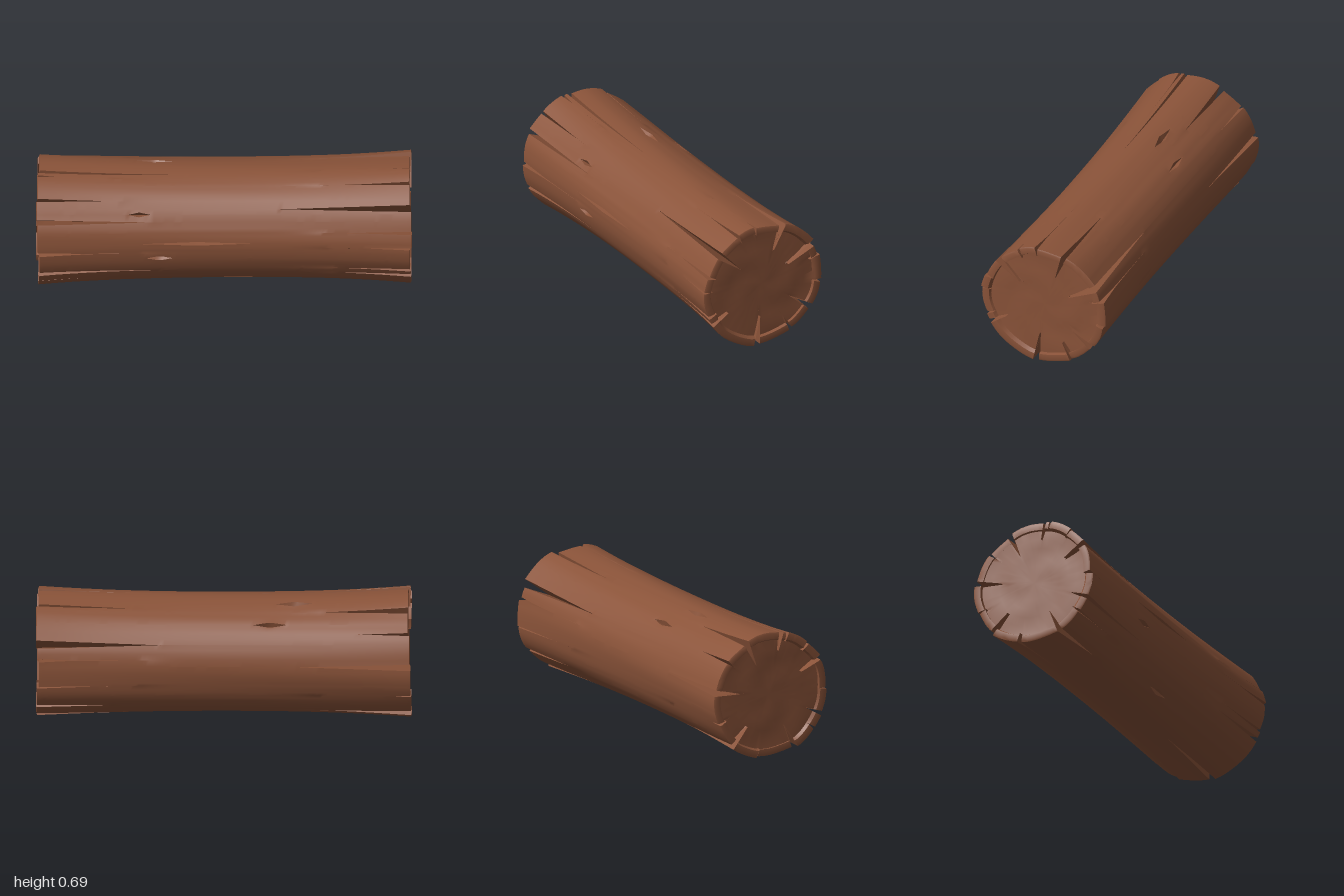
import * as THREE from 'three';
import { toCreasedNormals } from 'three/addons/utils/BufferGeometryUtils.js';

const hash = (n) => { const s = Math.sin(n * 127.1 + 3.7) * 43758.5453; return s - Math.floor(s) - 0.5; };

// Angles are in degrees, from +z towards +y
// Deep splits at either end: [angle, length, depth]
const SPLITS_RIGHT = [[40, 0.7, 0.17], [110, 0.5, 0.14], [150, 0.65, 0.19], [214, 0.4, 0.15],
  [241, 0.4, 0.1], [277, 0.5, 0.16], [331, 0.4, 0.11]];
const SPLITS_LEFT = [[28, 0.6, 0.13], [78, 0.8, 0.1], [115, 0.45, 0.15], [170, 0.6, 0.15],
  [226, 0.4, 0.13], [297, 0.4, 0.14], [335, 0.65, 0.11]];
// Shallow cracks through the bark only: angles
const RIM_RIGHT = [4, 18, 64, 82, 164, 189, 339];
const RIM_LEFT = [48, 72, 140, 200, 256, 321, 358];
// Splits and knots along the trunk: [angle, centre, half length, half width]
const KNOTS = [[8, -0.15, 0.29, 0.011], [352, -0.35, 0.07, 0.016], [35, -0.46, 0.06, 0.013],
  [103, -0.38, 0.1, 0.02], [308, 0.07, 0.09, 0.017], [130, -0.25, 0.09, 0.016]];

const split = (u) => ([deg, len, d]) => ({ deg, u, len, w: 0.11 * d, d });
const rim = (u) => (deg) => ({ deg, u, len: 0.25 + 0.3 * hash(deg), w: 0.008, d: 0.05 });
const CRACKS = [
  ...SPLITS_RIGHT.map(split(1)), ...RIM_RIGHT.map(rim(1)),
  ...SPLITS_LEFT.map(split(-1)), ...RIM_LEFT.map(rim(-1)),
  ...KNOTS.map(([deg, u, len, w]) => ({ deg, u, len, w, d: 0.03 })),
].map((c) => ({ ...c, a: THREE.MathUtils.degToRad(c.deg) }));

// Three columns per crack (edge, floor, edge) and plain columns between them
function makeColumns() {
  const columns = [];
  for (const crack of CRACKS)
    for (const side of [-1, 0, 1]) columns.push({ a: crack.a, side, crack });
  for (let deg = 1; deg < 360; deg += 3.5) {
    const a = THREE.MathUtils.degToRad(deg);
    const clear = CRACKS.every((c) => {
      const gap = Math.abs(a - c.a);
      return Math.min(gap, Math.PI * 2 - gap) > c.w / 0.3 + 0.012;
    });
    if (clear) columns.push({ a, side: 0, crack: null });
  }
  columns.sort((p, q) => p.a - q.a || p.side - q.side);
  // Each column belongs to one bark plank at either end
  for (const c of columns) {
    c.plank = [-1, 1].map((end) => {
      const ends = CRACKS.filter((k) => k.u === end);
      return ends.filter((k) => k.a < c.a + c.side * 1e-4).length % ends.length + (end > 0 ? 40 : 0);
    });
  }
  return columns;
}

// Rows run from the middle of one cut face, over the bark, to the middle of the other
function makeRows() {
  const cap = [];
  for (let i = 0; i <= 6; i++) cap.push({ f: 0.872 * i / 6, x: 0.972 });
  cap.push({ f: 0.888, x: 0.986 }, { f: 0.975, x: 0.988 });
  const rows = cap.map(({ f, x }) => ({ u: -1, x: -x, f }));
  for (let i = 0; i <= 100; i++) {
    const u = -1 + i / 50;
    rows.push({ u, x: u * 0.984, f: 1 });
  }
  for (const { f, x } of cap.reverse()) rows.push({ u: 1, x, f });
  return rows;
}

function surfacePoint(col, row) {
  const { u, f } = row;
  const flare = Math.abs(u) ** 2.2;
  const ry = 0.312 + 0.029 * flare, rz = 0.334 + 0.02 * flare;
  let R = Math.hypot(rz * Math.cos(col.a), ry * Math.sin(col.a));
  R *= 1 + 0.008 * Math.sin(5 * col.a + 1 + u) + 0.006 * Math.sin(9 * col.a + 2 * u);

  // Bark planks lift and stagger towards the ends
  const plank = col.plank[u > 0 ? 1 : 0];
  const core = R;
  R += hash(plank) * 0.022 * flare ** 2;
  let r = f > 0.88 ? R * f : core * f;
  let x = row.x;
  if (f > 0.88) x += Math.sign(u) * hash(plank + 11) * 0.022 * Math.abs(u) ** 20;
  else if (f < 0.8) x += 0.004 * f * Math.sin(col.a * 3 + f * 9);

  // Open the crack as a wedge
  let a = col.a;
  if (col.crack) {
    const { u: cu, len, w, d } = col.crack;
    const t = Math.max(0, 1 - Math.abs(u - cu) / len);
    const floor = R - d * Math.pow(t, 0.8);
    if (col.side === 0) r = Math.min(r, floor);
    else if (r > 0.01) {
      const open = t > 0 ? THREE.MathUtils.clamp((r - floor) / (R - floor), 0, 1) : 1;
      a += col.side * w * Math.max(t, 0.08) * open / r;
    }
  }
  return [x, 0.344 + r * Math.sin(a), r * Math.cos(a)];
}

function logGeometry() {
  const columns = makeColumns(), rows = makeRows();
  const n = columns.length;
  const positions = [], index = [];
  for (const row of rows)
    for (const col of columns) positions.push(...surfacePoint(col, row));
  for (let i = 0; i < rows.length - 1; i++) {
    for (let j = 0; j < n; j++) {
      const k = (j + 1) % n;
      const a = i * n + j, b = (i + 1) * n + j, c = (i + 1) * n + k, d = i * n + k;
      index.push(a, b, c, a, c, d);
    }
  }
  const geometry = new THREE.BufferGeometry();
  geometry.setAttribute('position', new THREE.Float32BufferAttribute(positions, 3));
  geometry.setIndex(index);
  return toCreasedNormals(geometry, 0.6);
}

export function createModel() {
  const model = new THREE.Group();
  model.name = 'log';
  const wood = new THREE.MeshStandardMaterial({ color: 0x8a5339 });
  wood.name = 'brown wood';
  const trunk = new THREE.Mesh(logGeometry(), wood);
  trunk.name = 'crackedTrunk';
  model.add(trunk);
  return model;
}
